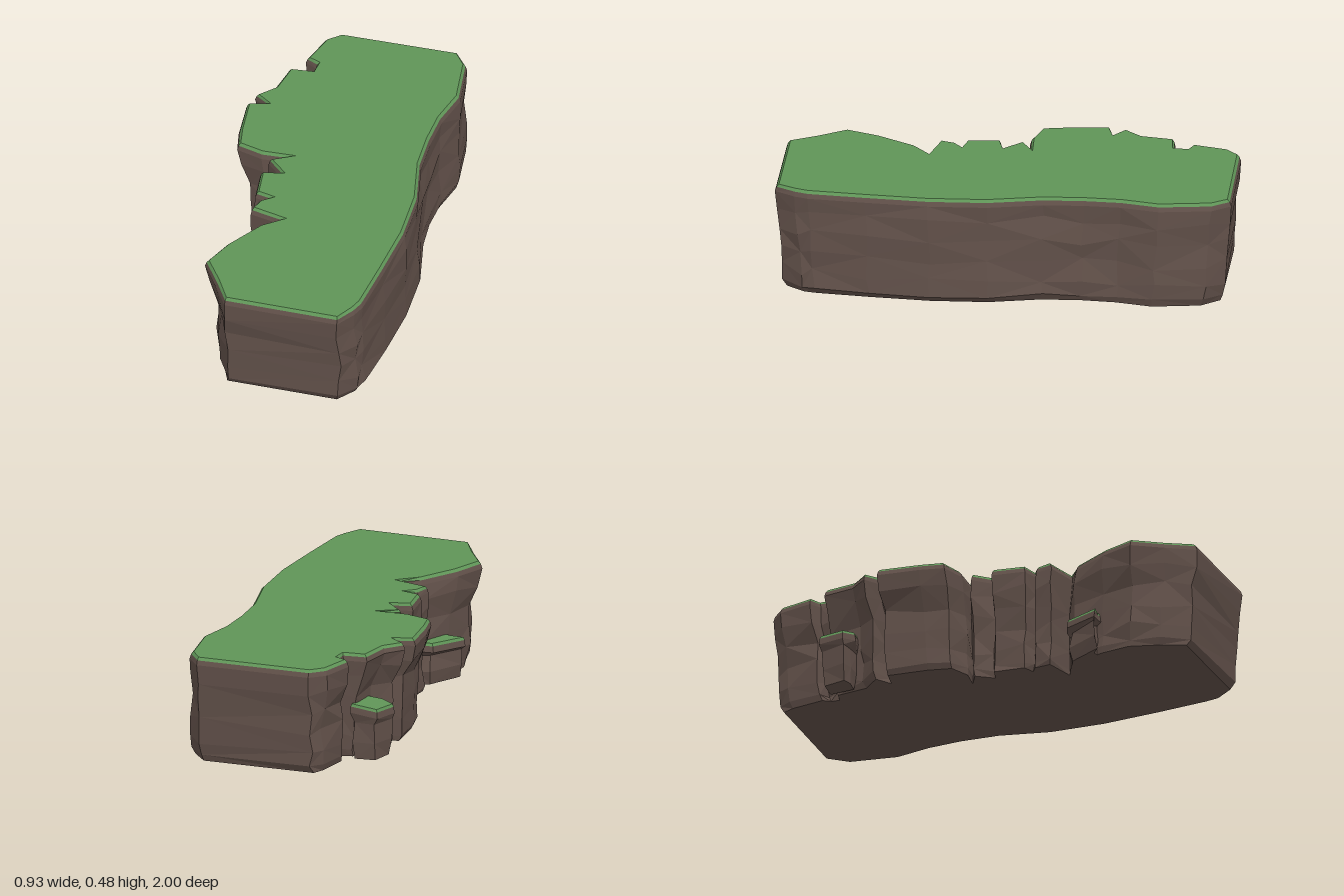
import * as THREE from 'three';

const rock = new THREE.MeshStandardMaterial({ color: 0x62514a, flatShading: true });
const grass = new THREE.MeshStandardMaterial({ color: 0x5f9457, flatShading: true });

// Plan outline [x, z], clockwise seen from above: back, smooth right side, front, ragged left side
const outline = [
  [-0.2, -0.99], [0.32, -1], [0.385, -0.92], [0.42, -0.69], [0.385, -0.52], [0.38, -0.36],
  [0.39, -0.18], [0.445, 0.06], [0.458, 0.32], [0.44, 0.6], [0.42, 0.85], [0.4, 0.91], [0.345, 1],
  [-0.165, 1], [-0.24, 0.88], [-0.325, 0.75], [-0.27, 0.6], [-0.17, 0.43], [-0.08, 0.375],
  [-0.235, 0.34], [-0.22, 0.26], [-0.17, 0.24], [-0.25, 0.22], [-0.27, 0.07], [-0.18, 0.05],
  [-0.26, -0.03], [-0.16, -0.065], [-0.3, -0.055], [-0.42, -0.09], [-0.445, -0.2], [-0.465, -0.39],
  [-0.375, -0.415], [-0.445, -0.46], [-0.38, -0.54], [-0.355, -0.685], [-0.25, -0.7],
  [-0.25, -0.745], [-0.305, -0.775], [-0.265, -0.93],
];

const noise = (i, k) => {
  const s = Math.sin(i * 127.1 + k * 311.7) * 43758.5453;
  return (s - Math.floor(s)) * 2 - 1;
};

// Move every outline corner inward by d
function inset(pts, d) {
  const n = pts.length;
  return pts.map(([x, z], i) => {
    const a = pts[(i + n - 1) % n], b = pts[(i + 1) % n];
    const dx = b[0] - a[0], dz = b[1] - a[1], len = Math.hypot(dx, dz);
    return [x - (dz / len) * d, z + (dx / len) * d];
  });
}

// Skin a stack of rings of [x, y, z] points, closed at both ends
function loft(name, rings, material) {
  const pos = [];
  const tri = (...p) => p.forEach((v) => pos.push(...v));
  const n = rings[0].length;
  for (let k = 0; k < rings.length - 1; k++) {
    const a = rings[k], b = rings[k + 1];
    for (let i = 0; i < n; i++) {
      const j = (i + 1) % n;
      if ((i + k) % 2) {
        tri(a[j], a[i], b[i]);
        tri(a[j], b[i], b[j]);
      } else {
        tri(a[j], a[i], b[j]);
        tri(a[i], b[i], b[j]);
      }
    }
  }
  const close = (ring, up) => {
    const flat = ring.map((p) => new THREE.Vector2(p[0], p[2]));
    for (const [i, j, k] of THREE.ShapeUtils.triangulateShape(flat, [])) {
      const area = THREE.ShapeUtils.area([flat[i], flat[j], flat[k]]);
      if ((area < 0) === up) tri(ring[i], ring[j], ring[k]);
      else tri(ring[i], ring[k], ring[j]);
    }
  };
  close(rings[0], false);
  close(rings[rings.length - 1], true);
  const g = new THREE.BufferGeometry();
  g.setAttribute('position', new THREE.Float32BufferAttribute(pos, 3));
  g.computeVertexNormals();
  const mesh = new THREE.Mesh(g, material);
  mesh.name = name;
  return mesh;
}

const atHeight = (pts, y) => pts.map(([x, z]) => [x, y, z]);

// Rock body: rings pulled in towards the foot, with an undercut left cliff
function cliffRings() {
  // height, pull-in at the ends, undercut of the left side, roughness
  const levels = [
    [0, 0.05, 0.08, 0.006], [0.03, 0.035, 0.075, 0.01], [0.1, 0.03, 0.07, 0.012],
    [0.19, 0.025, 0.065, 0.012], [0.285, 0.018, 0.06, 0.012], [0.38, 0.008, 0.015, 0.01],
    [0.45, 0, 0, 0],
  ];
  const rings = levels.map(([y, pull, under, rough], k) =>
    outline.map(([x, z], i) => {
      const left = THREE.MathUtils.clamp((-0.2 - x) / 0.15, 0, 1);
      const foot = k === 0 && x > 0.3 ? 0.012 : 0;
      const wobbleY = k > 0 && k < 6 ? noise(i, k + 40) * Math.min(0.02, y * 0.25) : 0;
      return [
        x + left * under - foot + noise(i, k) * rough,
        y + wobbleY,
        z * (1 - pull) + noise(i, k + 20) * rough * 0.6,
      ];
    }));
  rings.push(atHeight(inset(outline, 0.007), 0.47));
  return rings;
}

// Low outcrop with a sloping grassy top
function outcrop(name, pts, height, slope) {
  const cx = Math.max(...pts.map((p) => p[0]));
  const group = new THREE.Group();
  group.name = name;
  const ring = (d, y, tilt, rough) => inset(pts, d).map(([x, z], i) =>
    [x + noise(i, y * 50) * rough, y + tilt * (x - cx), z + noise(i, y * 70) * rough]);
  const lip = ring(0.004, height - 0.012, slope, 0);
  group.add(loft('outcropRock', [
    ring(0.025, 0, 0, 0.004), ring(0.016, height * 0.3, 0, 0.008),
    ring(0.018, height * 0.65, 0, 0.008), ring(0, height - 0.04, slope, 0), lip,
  ], rock));
  group.add(loft('outcropGrass', [lip, ring(0.01, height, slope, 0)], grass));
  return group;
}

export function createModel() {
  const model = new THREE.Group();
  model.name = 'cliffBlock';
  model.add(loft('rockBody', cliffRings(), rock));

  // Thin bevelled turf on top
  model.add(loft('grassTop', [
    atHeight(inset(outline, 0.007), 0.47), atHeight(inset(outline, 0.018), 0.482),
  ], grass));

  // Two ledges at the foot of the ragged side
  model.add(outcrop('backLedge',
    [[-0.28, -0.55], [-0.37, -0.53], [-0.437, -0.565], [-0.405, -0.69], [-0.28, -0.7]], 0.255, 0.15));
  model.add(outcrop('frontLedge',
    [[-0.1, 0.4], [-0.15, 0.58], [-0.25, 0.57], [-0.315, 0.575], [-0.23, 0.41], [-0.17, 0.385]], 0.205, 0.1));
  return model;
}
